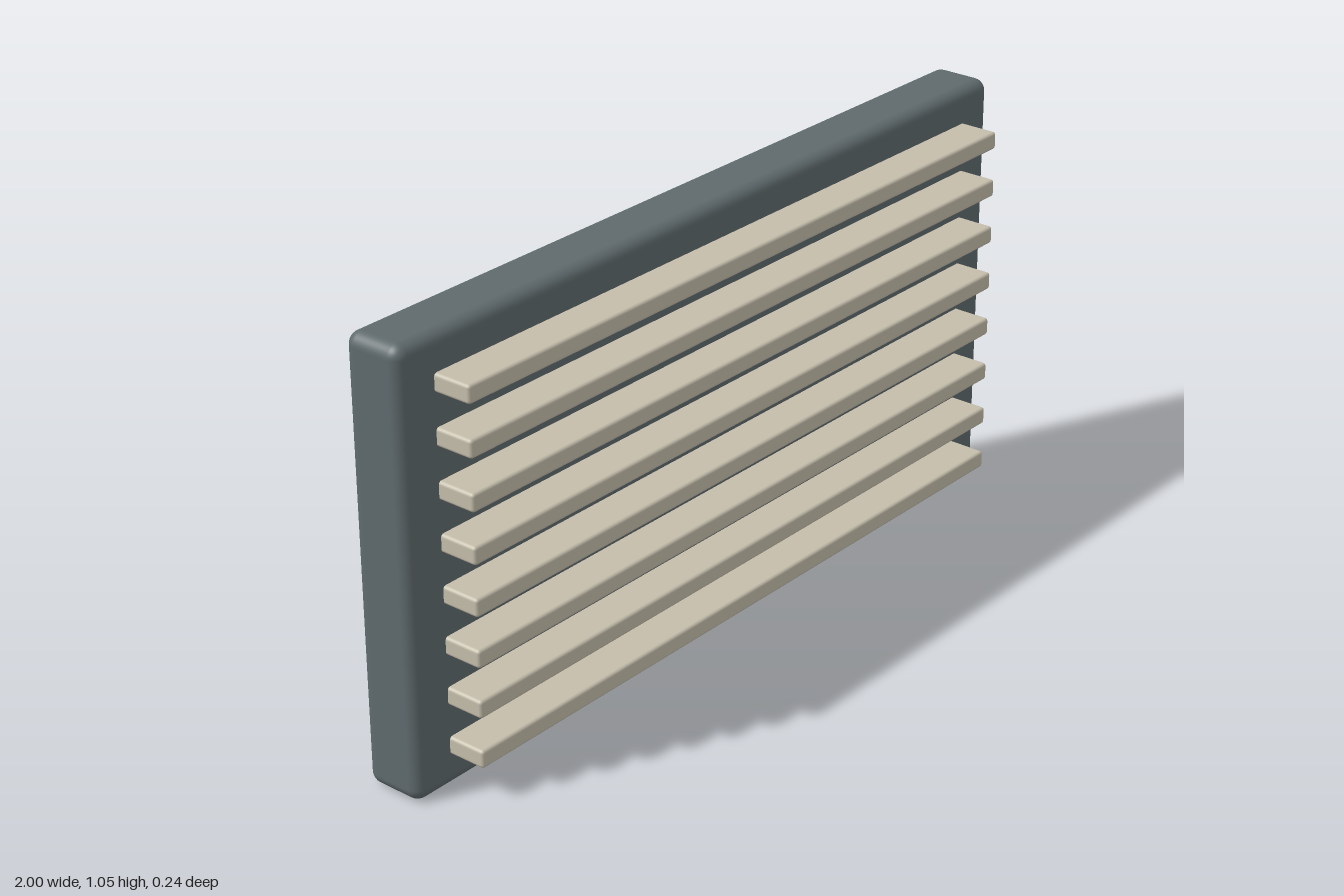
import * as THREE from 'three';
import { RoundedBoxGeometry } from 'three/addons/geometries/RoundedBoxGeometry.js';

export function createModel() {
  const model = new THREE.Group();
  model.name = 'slattedPanel';

  const panelGrey = new THREE.MeshStandardMaterial({ color: 0x5f6a6d });
  panelGrey.name = 'slate grey';
  const slatBeige = new THREE.MeshStandardMaterial({ color: 0xc4bdab });
  slatBeige.name = 'warm beige';

  // Thick backing panel with softened edges
  const panel = new THREE.Mesh(new RoundedBoxGeometry(2, 1.048, 0.15, 4, 0.03), panelGrey);
  panel.name = 'backPanel';
  panel.position.set(0, 0.524, -0.047);
  model.add(panel);

  // Eight evenly spaced horizontal slats, their rear edges set into the panel
  const slats = new THREE.Group();
  slats.name = 'slats';
  const slatGeometry = new RoundedBoxGeometry(1.8, 0.043, 0.112, 3, 0.008);
  for (let i = 0; i < 8; i++) {
    const slat = new THREE.Mesh(slatGeometry, slatBeige);
    slat.name = `slat${i + 1}`;
    slat.position.set(0, 0.102 + i * 0.12, 0.066);
    slats.add(slat);
  }
  model.add(slats);

  return model;
}
